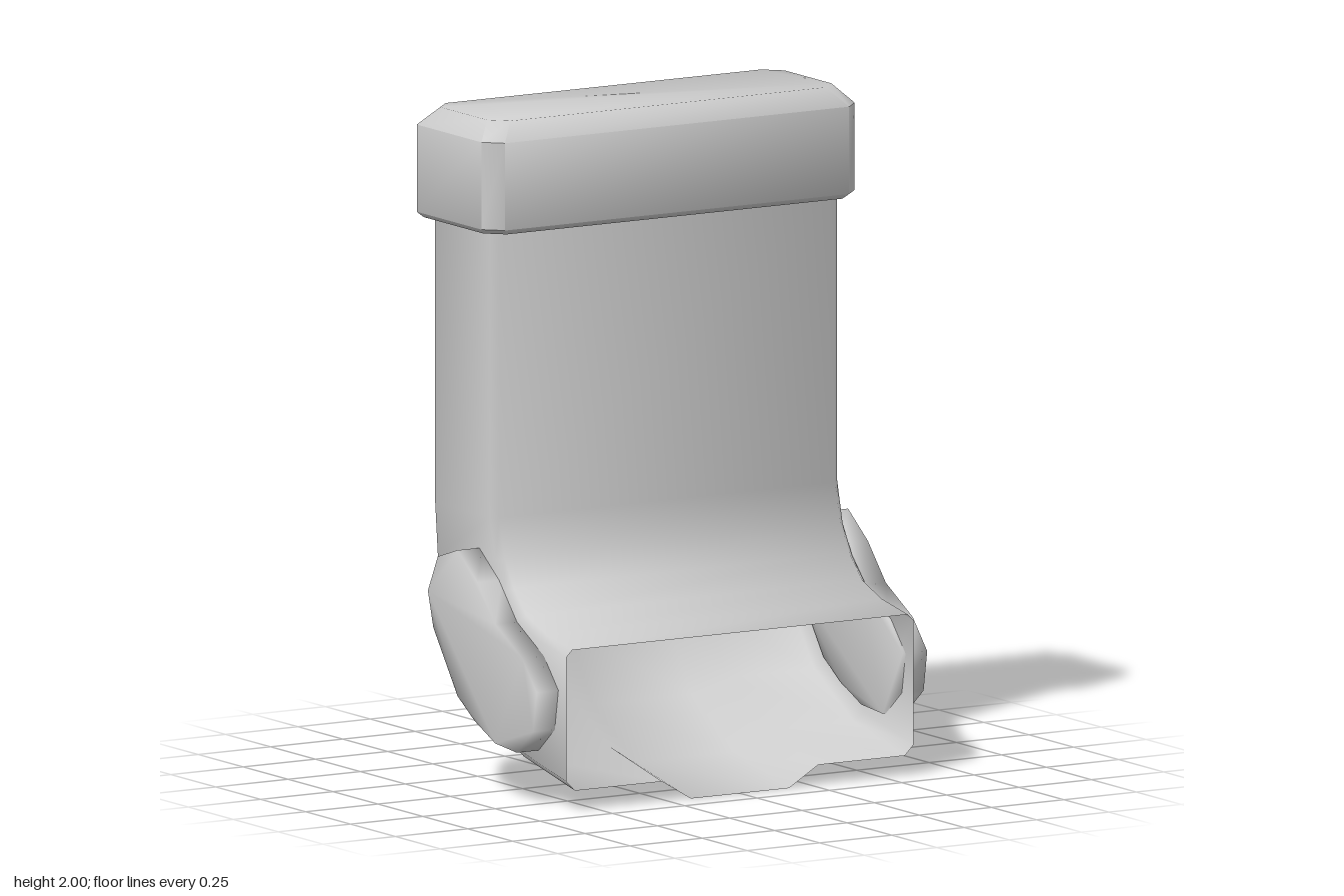
import * as THREE from 'three';
import { mergeVertices, toCreasedNormals } from 'three/addons/utils/BufferGeometryUtils.js';

const grey = new THREE.MeshStandardMaterial({ color: 0xcccccc });
const greyThin = new THREE.MeshStandardMaterial({ color: 0xcccccc, side: THREE.DoubleSide });

// Skin between closed rings of Vector3, listed from bottom to top, counter-clockwise from above.
function loft(rings, { capEnds = false, skip = () => false } = {}) {
  const n = rings[0].length, index = [];
  for (let r = 0; r < rings.length - 1; r++) {
    for (let i = 0; i < n; i++) {
      if (skip(r, i)) continue;
      const a = r * n + i, b = r * n + (i + 1) % n;
      index.push(a, b, b + n, a, b + n, a + n);
    }
  }
  if (capEnds) {
    const top = (rings.length - 1) * n;
    for (let i = 1; i < n - 1; i++) index.push(0, i + 1, i, top, top + i, top + i + 1);
  }
  const g = new THREE.BufferGeometry().setFromPoints(rings.flat());
  g.setIndex(index);
  return toCreasedNormals(g, 0.9);
}

function add(parent, name, geometry, material = grey) {
  const mesh = new THREE.Mesh(geometry, material);
  mesh.name = name;
  parent.add(mesh);
  return mesh;
}

// Cross-section from a front point to a back point (z, y), with a raised rib on the back.
function bodyRing([fz, fy, bz, by, rib]) {
  const D = Math.hypot(bz - fz, by - fy), dz = (bz - fz) / D, dy = (by - fy) / D;
  const half = [[0.6, 0.02], [0.6, D - 0.03], [0.57, D], [0.27, D], [0.17, D + rib]];
  const loop = [[0.58, 0], ...half];
  const mirrored = loop.map(([x, d]) => [-x, d]).reverse();
  return [...loop, ...mirrored].map(([x, d]) => new THREE.Vector3(x, fy + dy * d, fz + dz * d));
}

// Rectangle with cut corners at height y
function capRing(y, inset) {
  const w = 0.645 - inset, d = 0.23 - inset, c = 0.05;
  return [[w, d - c], [w, c - d], [w - c, -d], [c - w, -d], [-w, c - d], [-w, d - c], [c - w, d], [w - c, d]]
    .map(([x, z]) => new THREE.Vector3(x, y, z - 0.175));
}

function rectangle(Type, x, y0, y1) {
  return new Type([[-x, y0], [x, y0], [x, y1], [-x, y1]].map(p => new THREE.Vector2(...p)));
}

export function createModel() {
  const model = new THREE.Group();
  model.name = 'curvedHousing';

  // Hollow bent body, open at the front mouth; the straight back is left out for the slotted panel
  const sections = [
    [0.405, 0.485, 0.405, 0.065, 0.06],
    [0.26, 0.51, 0.12, 0.125, 0.06],
    [0.15, 0.55, -0.1, 0.25, 0.06],
    [0.08, 0.62, -0.235, 0.435, 0.05],
    [0.03, 0.7, -0.34, 0.66, 0.015],
    [0, 0.82, -0.355, 0.82, 0],
    [0, 1.68, -0.355, 1.68, 0],
  ];
  const last = sections.length - 2;
  add(model, 'bodyShell', loft(sections.map(bodyRing), {
    skip: (r, i) => r === last && i >= 3 && i <= 7,
  }), greyThin);

  // Back panel with three slots
  const panel = rectangle(THREE.Shape, 0.57, 0.82, 1.68);
  for (const [y0, y1] of [[0.95, 1.13], [1.23, 1.34], [1.45, 1.64]]) {
    panel.holes.push(rectangle(THREE.Path, 0.46, y0, y1));
  }
  const panelGeometry = new THREE.ExtrudeGeometry(panel, { depth: 0.03, bevelEnabled: false });
  panelGeometry.translate(0, 0, -0.355);
  add(model, 'slottedBackPanel', panelGeometry);

  // Round bars behind the slots
  for (let i = 0; i < 3; i++) {
    const bar = add(model, 'innerBar', new THREE.CylinderGeometry(0.14, 0.14, 1, 20));
    bar.rotation.z = Math.PI / 2;
    bar.position.set(0, 1.06 + i * 0.29, -0.178);
  }

  // Chamfered end cap
  add(model, 'endCap', loft(
    [capRing(1.67, 0.015), capRing(1.685, 0), capRing(1.945, 0), capRing(2, 0.05)], { capEnds: true }));

  // Soft-shaded side pads, outline in (z, y)
  const outline = [[-0.08, 0.72], [-0.19, 0.685], [-0.245, 0.575], [-0.215, 0.47], [-0.08, 0.285],
    [0.015, 0.225], [0.13, 0.175], [0.25, 0.165], [0.34, 0.24], [0.36, 0.36], [0.28, 0.45],
    [0.13, 0.53], [0.03, 0.64]];
  for (const side of [1, -1]) {
    const shape = new THREE.Shape(outline.map(([z, y]) => new THREE.Vector2(-side * z, y)));
    let pad = new THREE.ExtrudeGeometry(shape, { depth: 0.085, bevelEnabled: false });
    pad.deleteAttribute('normal');
    pad.deleteAttribute('uv');
    pad = mergeVertices(pad);
    pad.rotateY(side * Math.PI / 2);
    pad.translate(side * 0.59, 0, 0);
    pad.computeVertexNormals();
    add(model, side > 0 ? 'leftSidePad' : 'rightSidePad', pad);
  }
  return model;
}
